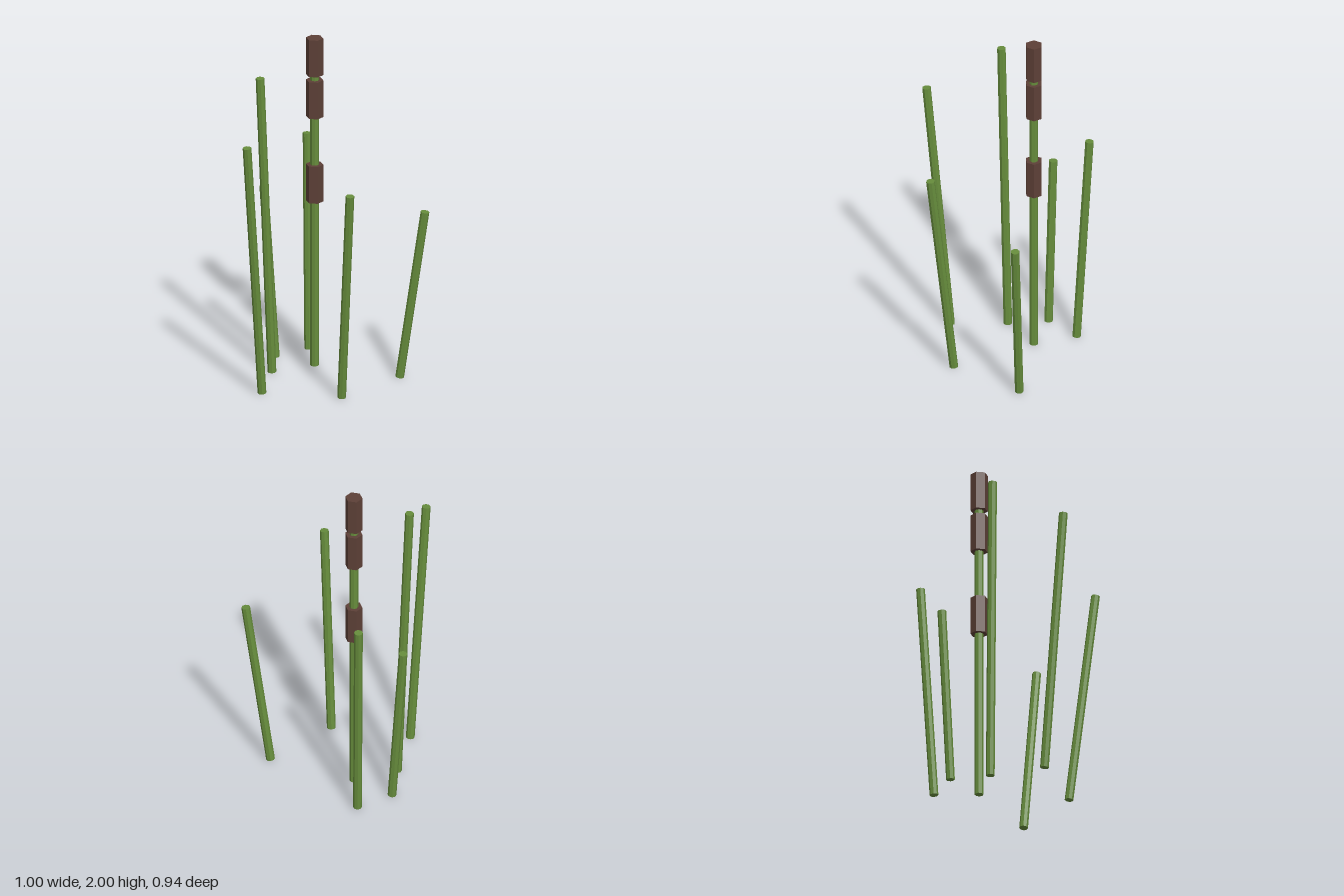
import * as THREE from 'three';

const STEM_RADIUS = 0.025;

// Straight faceted rod between two points
function rod(name, from, to, radius, sides, material) {
  const dir = to.clone().sub(from);
  const mesh = new THREE.Mesh(
    new THREE.CylinderGeometry(radius, radius, dir.length(), sides),
    material
  );
  mesh.name = name;
  mesh.position.copy(from).add(to).multiplyScalar(0.5);
  mesh.quaternion.setFromUnitVectors(new THREE.Vector3(0, 1, 0), dir.normalize());
  return mesh;
}

export function createModel() {
  const stemGreen = new THREE.MeshStandardMaterial({ color: 0x668c3c, flatShading: true });
  stemGreen.name = 'stem green';
  const headBrown = new THREE.MeshStandardMaterial({ color: 0x5d4037, flatShading: true });
  headBrown.name = 'seed head brown';

  const model = new THREE.Group();
  model.name = 'reeds';

  // Leaning stems: base x, base z, top x, top z, height
  const stems = [
    [-0.268, 0.014, -0.304, 0.076, 1.804],
    [-0.105, 0.295, -0.091, 0.443, 1.545],
    [0.284, 0.056, 0.413, 0.136, 1.287],
    [-0.339, -0.393, -0.395, -0.445, 1.29],
    [-0.403, -0.175, -0.478, -0.163, 1.03],
    [0.333, -0.396, 0.476, -0.449, 1.03],
  ];
  stems.forEach(([bx, bz, tx, tz, h], i) => {
    model.add(rod(`leaningStem${i + 1}`, new THREE.Vector3(bx, 0.003, bz),
      new THREE.Vector3(tx, h, tz), STEM_RADIUS, 8, stemGreen));
  });

  // Upright stem with three hexagonal seed heads
  const upright = new THREE.Group();
  upright.name = 'uprightReed';
  upright.position.set(-0.15, 0, -0.221);
  upright.add(rod('uprightStem', new THREE.Vector3(0, 0.003, 0),
    new THREE.Vector3(0, 1.81, 0), STEM_RADIUS, 8, stemGreen));
  [1.005, 1.52, 1.776].forEach((y, i) => {
    upright.add(rod(`seedHead${i + 1}`, new THREE.Vector3(0, y, 0),
      new THREE.Vector3(0, y + 0.224, 0), 0.05, 6, headBrown));
  });
  model.add(upright);
  return model;
}
